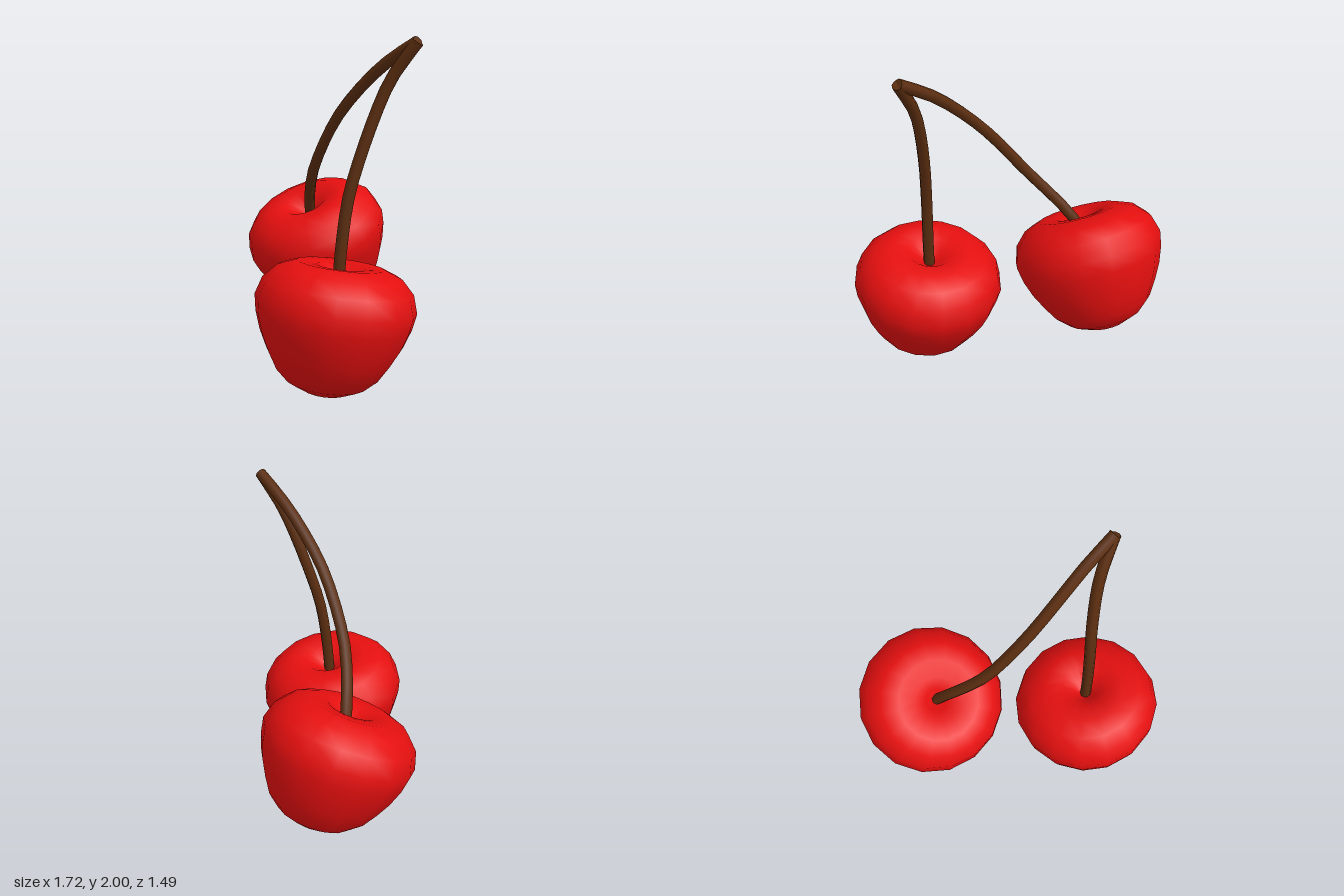
import * as THREE from 'three';

const V = (x, y, z) => new THREE.Vector3(x, y, z);

export function createModel() {
  const red = new THREE.MeshStandardMaterial({ color: 0xe50f0f });
  red.name = 'cherryRed';
  const brown = new THREE.MeshStandardMaterial({ color: 0x5c2e10 });
  brown.name = 'stemBrown';

  const model = new THREE.Group();
  model.name = 'cherryPair';

  // Fruit profile from the bottom dimple to the stem dimple: [radius, height]
  const profile = [
    [0, -0.45], [0.045, -0.468], [0.12, -0.482], [0.228, -0.432], [0.305, -0.36],
    [0.362, -0.265], [0.41, -0.17], [0.445, -0.07], [0.462, 0.025], [0.43, 0.13],
    [0.355, 0.208], [0.25, 0.249], [0.14, 0.238], [0.07, 0.18], [0, 0.13],
  ].map(([r, h]) => new THREE.Vector2(r, h));
  const fruitGeometry = new THREE.LatheGeometry(profile, 16);

  function addFruit(name, position, tilt) {
    const fruit = new THREE.Mesh(fruitGeometry, red);
    fruit.name = name;
    fruit.position.copy(position);
    fruit.rotation.x = THREE.MathUtils.degToRad(tilt);
    model.add(fruit);
  }

  // Curved stem with a flat cut end
  function addStem(name, points) {
    const radius = 0.034;
    const curve = new THREE.CatmullRomCurve3(points);
    const stem = new THREE.Group();
    stem.name = name;
    const tube = new THREE.Mesh(new THREE.TubeGeometry(curve, 14, radius, 8), brown);
    tube.name = name + 'Shaft';
    const cap = new THREE.Mesh(new THREE.CircleGeometry(radius, 8), brown);
    cap.name = name + 'CutEnd';
    cap.position.copy(curve.getPoint(1));
    cap.quaternion.setFromUnitVectors(V(0, 0, 1), curve.getTangent(1));
    stem.add(tube, cap);
    model.add(stem);
  }

  addFruit('frontCherry', V(0.4, 0.5, 0.3), -10);
  addFruit('backCherry', V(-0.4, 0.71, -0.3), 25);

  // Both stems meet at the same tip
  const tip = V(0.715, 1.98, 0);
  addStem('frontStem', [
    V(0.4, 0.6, 0.28), V(0.408, 0.8, 0.268), V(0.43, 1.13, 0.228), V(0.475, 1.4, 0.163),
    V(0.54, 1.66, 0.095), V(0.59, 1.79, 0.06), tip,
  ]);
  addStem('backStem', [
    V(-0.4, 0.81, -0.25), V(-0.35, 0.93, -0.195), V(-0.24, 1.09, -0.105),
    V(-0.125, 1.235, -0.04), V(0.115, 1.53, 0.015), V(0.325, 1.73, 0.018),
    V(0.51, 1.87, 0.008), tip,
  ]);

  return model;
}
